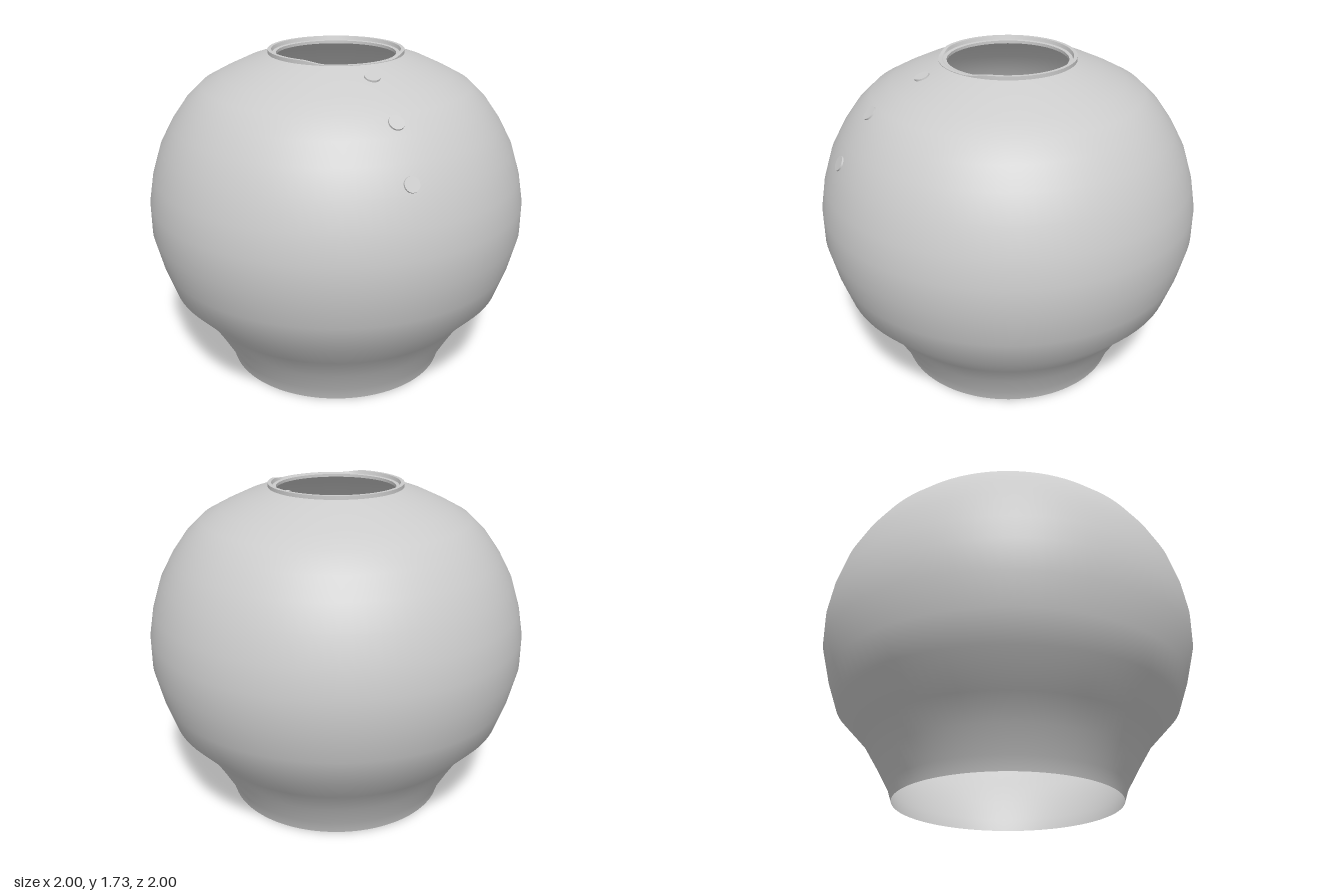
import * as THREE from 'three';

const TILT = -0.115; // heading of the notch and the studs, just off the front

const material = new THREE.MeshStandardMaterial({ color: 0xcccccc, side: THREE.DoubleSide });

// Body outline, from the foot up to the neck (radius, height)
const PROFILE = [
  [0.593, 0], [0.615, 0.07], [0.685, 0.195], [0.76, 0.32], [0.904, 0.476], [0.957, 0.63],
  [0.998, 0.8], [0.998, 0.96], [0.973, 1.1], [0.925, 1.25], [0.86, 1.37], [0.785, 1.475],
  [0.7, 1.556], [0.6, 1.61], [0.476, 1.668], [0.352, 1.711],
].map(([r, y]) => new THREE.Vector2(r, y));

function add(group, name, geometry) {
  const mesh = new THREE.Mesh(geometry, material);
  mesh.name = name;
  group.add(mesh);
  return mesh;
}

// Lip band with sharp edges: each profile segment is its own lathe strip
function addLip(group) {
  const lip = new THREE.Group();
  lip.name = 'lip';
  const points = [
    [0.352, 1.709], [0.352, 1.73], [0.333, 1.73], [0.328, 1.712], [0.31, 1.71], [0.31, 1.695],
  ].map(([r, y]) => new THREE.Vector2(r, y));
  for (let i = 0; i < points.length - 1; i++) {
    const strip = new THREE.LatheGeometry([points[i], points[i + 1]], 96);
    const pos = strip.attributes.position;
    for (let v = 0; v < pos.count; v++) {
      // Sink the raised edge around the front to form the notch
      const angle = Math.abs(Math.atan2(pos.getX(v), pos.getZ(v)) - TILT);
      const keep = THREE.MathUtils.smoothstep(angle, 0.5, 0.9);
      const y = pos.getY(v);
      if (y > 1.714) pos.setY(v, 1.714 + (y - 1.714) * keep);
    }
    strip.computeVertexNormals();
    add(lip, 'lipStrip', strip);
  }
  group.add(lip);
}

// Nearly flush round studs, set square to the wall
function addStuds(group) {
  for (const r of [0.903, 0.732, 0.46]) {
    const i = PROFILE.findIndex((p, k) => k > 7 && p.x <= r);
    const a = PROFILE[i - 1], b = PROFILE[i];
    const y = THREE.MathUtils.mapLinear(r, a.x, b.x, a.y, b.y);
    const out = new THREE.Vector3(b.y - a.y, a.x - b.x, 0).normalize();
    const normal = new THREE.Vector3(out.x * Math.sin(TILT), out.y, out.x * Math.cos(TILT));
    const stud = add(group, 'stud', new THREE.CylinderGeometry(0.038, 0.04, 0.014, 24));
    stud.position.set(r * Math.sin(TILT), y, r * Math.cos(TILT));
    stud.quaternion.setFromUnitVectors(new THREE.Vector3(0, 1, 0), normal);
  }
}

export function createModel() {
  const model = new THREE.Group();
  model.name = 'roundPot';
  // Thin shell, open at the foot and at the neck
  add(model, 'body', new THREE.LatheGeometry(PROFILE, 96));
  addLip(model);
  addStuds(model);
  return model;
}
